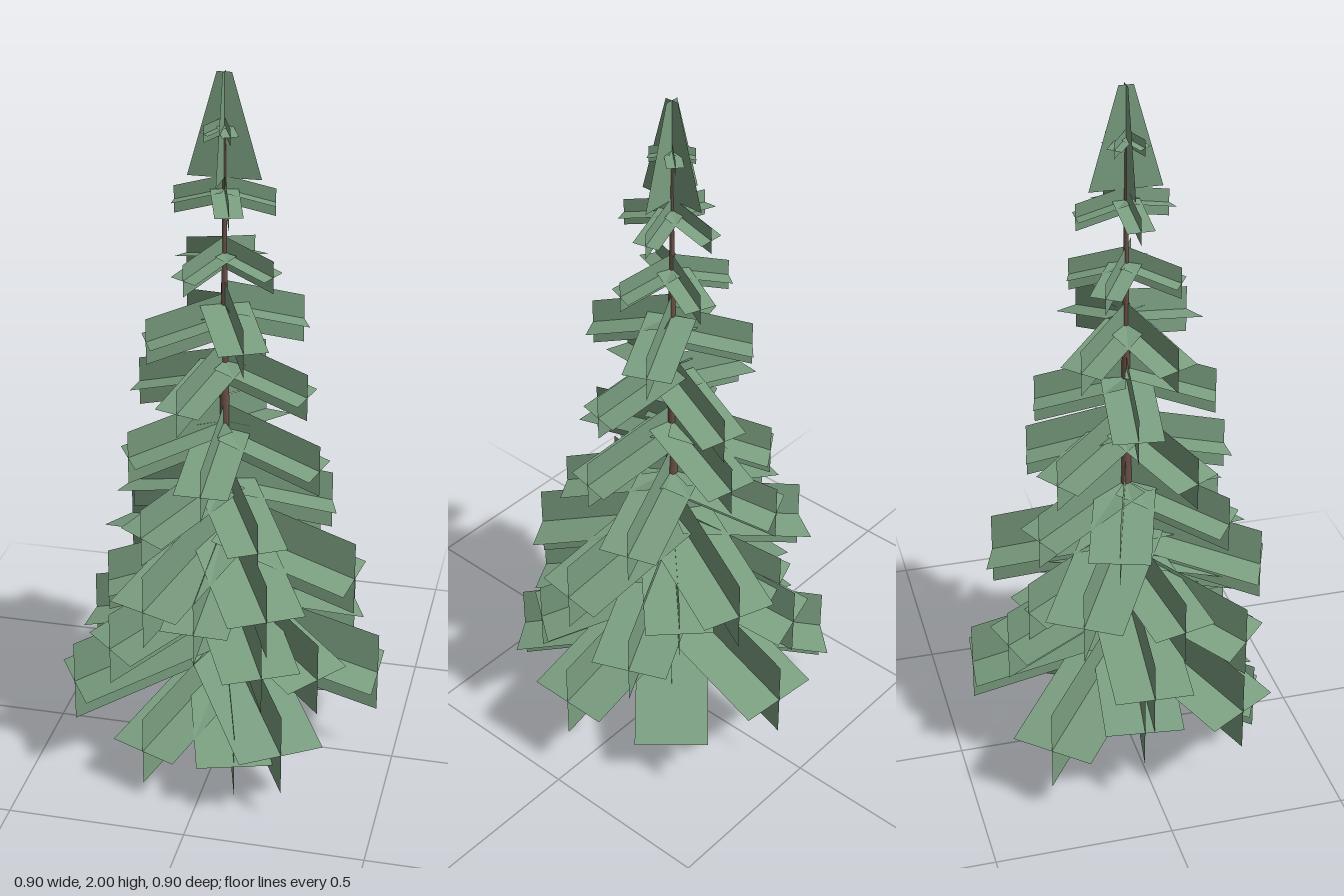
import * as THREE from 'three';
import { mergeGeometries } from 'three/addons/utils/BufferGeometryUtils.js';

const needles = new THREE.MeshStandardMaterial({ color: 0x7a9e80, side: THREE.DoubleSide, flatShading: true });
const bark = new THREE.MeshStandardMaterial({ color: 0x6a5046 });

const DROOP = 0.27; // drop per unit of reach

// A bough: a flat card and an upright card crossed along the +x axis, sheared downwards
function boughGeometry(length, width) {
  const flat = new THREE.PlaneGeometry(length, width).rotateX(-Math.PI / 2);
  const upright = new THREE.PlaneGeometry(length, width);
  const geo = mergeGeometries([flat, upright]).translate(length / 2, 0, 0);
  const p = geo.attributes.position;
  for (let i = 0; i < p.count; i++) p.setY(i, p.getY(i) - DROOP * p.getX(i));
  geo.computeVertexNormals();
  return geo;
}

// Height on the trunk, reach, card width, and bough headings in degrees (from +x towards +z)
const tiers = [
  [1.86, 0.06, 0.045, [62, 140, 225, 310]],
  [1.69, 0.135, 0.075, [-12, 72, 178, 271]],
  [1.515, 0.153, 0.09, [20, 122, 215, 290]],
  [1.37, 0.22, 0.135, [-24, 64]],
  [1.335, 0.215, 0.13, [155, 228]],
  [1.205, 0.245, 0.135, [12, 108]],
  [1.175, 0.25, 0.14, [187, 285]],
  [1.005, 0.285, 0.15, [12, 90]],
  [1.025, 0.275, 0.155, [150, 237, 283]],
  [0.85, 0.305, 0.17, [-18, 60, 125, 198, 246]],
  [0.705, 0.385, 0.22, [7, 60, 112, 212, 290]],
  [0.62, 0.33, 0.19, [-45, 92, 165, 250]],
  [0.53, 0.385, 0.22, [-23, 62, 133, 254]],
  [0.48, 0.39, 0.22, [36, 183]],
  [0.4, 0.45, 0.245, [0, 148, 276]],
  [0.37, 0.39, 0.22, [187]],
  [0.335, 0.45, 0.245, [57, 222]],
  [0.25, 0.38, 0.21, [-41, 73, 114]],
];

export function createModel() {
  const tree = new THREE.Group();
  tree.name = 'conifer';

  // Trunk, narrowing quickly above the base
  const profile = [[0, 0], [0.037, 0], [0.034, 0.12], [0.025, 0.5], [0.015, 1], [0.009, 1.4], [0.003, 1.86]];
  const trunk = new THREE.Mesh(new THREE.LatheGeometry(profile.map(([r, y]) => new THREE.Vector2(r, y)), 8), bark);
  trunk.name = 'trunk';
  tree.add(trunk);

  // Tiers of drooping boughs
  tiers.forEach(([y, reach, width, headings], t) => {
    const tier = new THREE.Group();
    tier.name = `boughTier${t + 1}`;
    tier.position.y = y;
    const geo = boughGeometry(reach, width);
    headings.forEach((deg) => {
      const bough = new THREE.Mesh(geo, needles);
      bough.name = 'bough';
      bough.rotation.y = -THREE.MathUtils.degToRad(deg);
      tier.add(bough);
    });
    tree.add(tier);
  });

  // Crossed, tapering cards at the tip
  const outline = new THREE.Shape([[-0.1, 1.72], [0.1, 1.72], [0.02, 2], [-0.02, 2]].map(([x, y]) => new THREE.Vector2(x, y)));
  const tip = new THREE.Group();
  tip.name = 'treeTip';
  for (const turn of [0, Math.PI / 2]) {
    const card = new THREE.Mesh(new THREE.ShapeGeometry(outline), needles);
    card.name = 'tipCard';
    card.rotation.y = turn;
    tip.add(card);
  }
  tree.add(tip);
  return tree;
}
